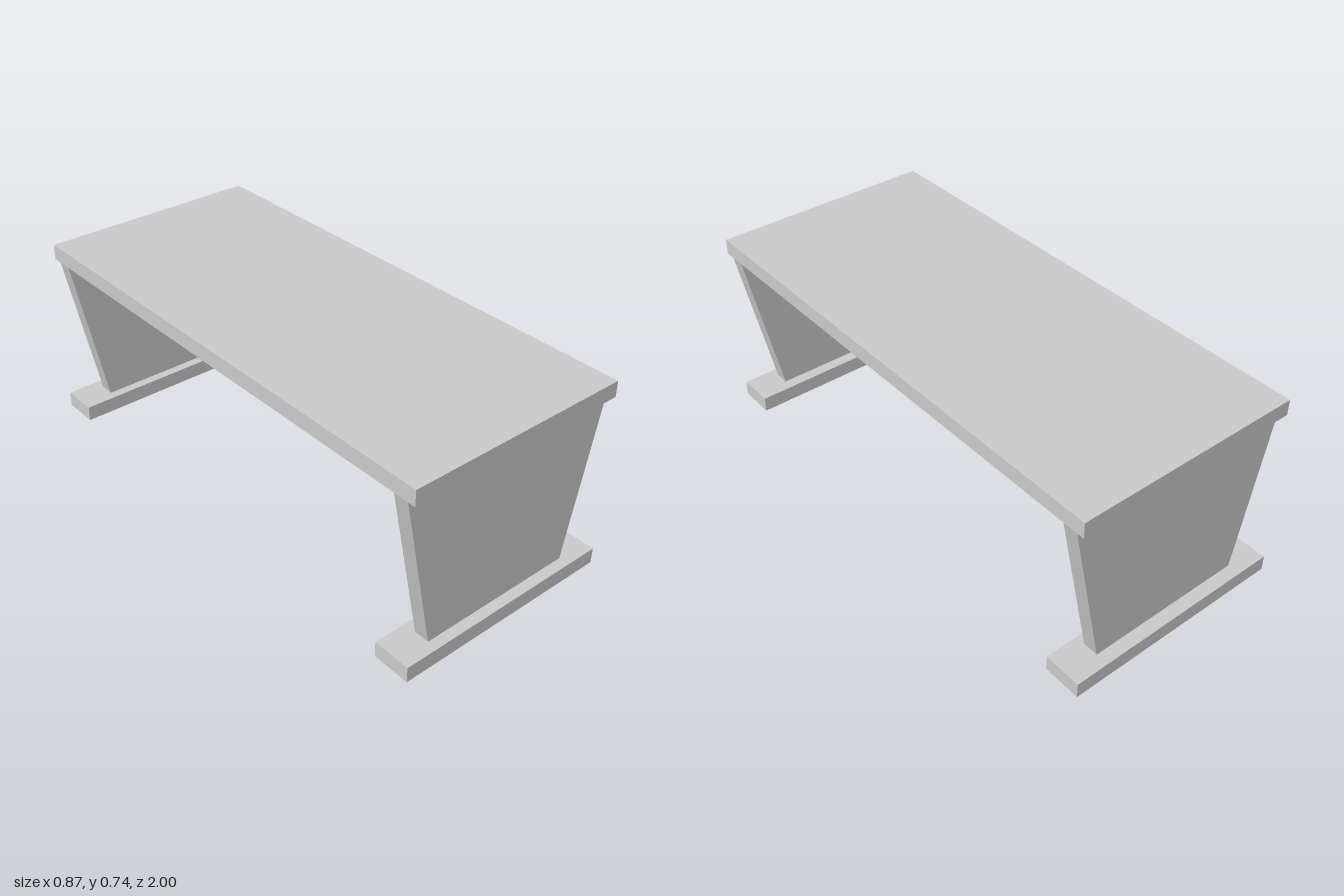
import * as THREE from 'three';

const material = new THREE.MeshStandardMaterial({ color: 0xcccccc, flatShading: true });

export function createModel() {
  const group = new THREE.Group();
  const halfWidth = 0.437, thick = 0.06, legTop = 0.676;

  const add = (name, geometry, x, y, z) => {
    const mesh = new THREE.Mesh(geometry, material);
    mesh.name = name;
    mesh.position.set(x, y, z);
    group.add(mesh);
  };

  // Flat table top
  add('tableTop', new THREE.BoxGeometry(halfWidth * 2, thick, 1.972), 0, legTop + thick / 2, 0.005);

  // Tapered leg panel, wider at the top
  const panel = new THREE.Shape([
    new THREE.Vector2(-0.31, thick),
    new THREE.Vector2(0.31, thick),
    new THREE.Vector2(0.434, legTop),
    new THREE.Vector2(-0.434, legTop),
  ]);
  const legGeometry = new THREE.ExtrudeGeometry(panel, { depth: 0.058, bevelEnabled: false });
  legGeometry.translate(0, 0, -0.029);
  const footGeometry = new THREE.BoxGeometry(halfWidth * 2, thick, 0.145);

  // A leg panel and a foot bar at each end
  for (const [end, legZ, footZ] of [['front', 0.93, 0.9275], ['back', -0.921, -0.9275]]) {
    add(end + 'Leg', legGeometry, 0, 0, legZ);
    add(end + 'Foot', footGeometry, 0, thick / 2, footZ);
  }
  return group;
}
